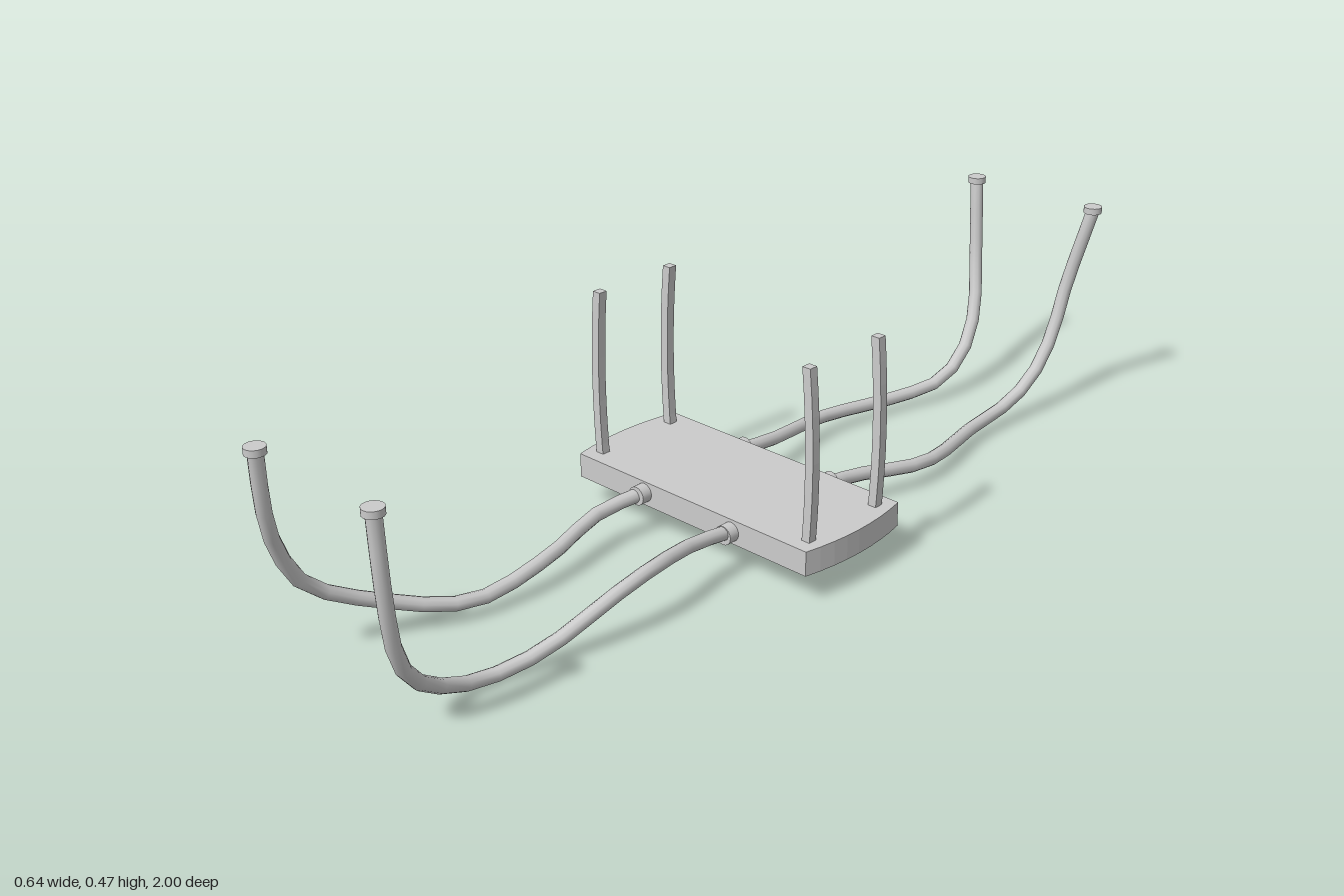
import * as THREE from 'three';

const grey = new THREE.MeshStandardMaterial({ color: 0xcccccc });
const faceted = new THREE.MeshStandardMaterial({ color: 0xcccccc, flatShading: true });

function add(parent, geometry, material, name) {
  const mesh = new THREE.Mesh(geometry, material);
  mesh.name = name;
  parent.add(mesh);
  return mesh;
}

// Rectangle in plan whose two short ends bulge outwards
function bowedOutline(cornerX, endX, halfZ) {
  const s = new THREE.Shape();
  const bulge = 2 * endX - cornerX;
  s.moveTo(-cornerX, -halfZ);
  s.lineTo(cornerX, -halfZ);
  s.quadraticCurveTo(bulge, 0, cornerX, halfZ);
  s.lineTo(-cornerX, halfZ);
  s.quadraticCurveTo(-bulge, 0, -cornerX, -halfZ);
  return s;
}

function plate(shape, y, options) {
  const g = new THREE.ExtrudeGeometry(shape, { curveSegments: 8, bevelEnabled: false, ...options });
  return g.rotateX(-Math.PI / 2).translate(0, y, 0);
}

// Hose paths from the deck to the raised tip: x, y, z
const hoses = {
  frontRight: [[-0.12, 0.092, 0.13], [-0.136, 0.083, 0.246], [-0.105, 0.06, 0.42], [-0.115, 0.04, 0.594],
    [-0.18, 0.085, 0.754], [-0.213, 0.155, 0.877], [-0.207, 0.24, 0.93], [-0.186, 0.34, 0.963], [-0.168, 0.465, 0.978]],
  frontLeft: [[0.116, 0.09, 0.13], [0.118, 0.106, 0.246], [0.14, 0.117, 0.37], [0.138, 0.1, 0.46], [0.103, 0.034, 0.61],
    [0.078, 0.018, 0.727], [0.083, 0.05, 0.823], [0.104, 0.11, 0.9], [0.12, 0.18, 0.94], [0.14, 0.315, 0.968], [0.146, 0.465, 0.978]],
  backRight: [[-0.12, 0.09, -0.13], [-0.122, 0.075, -0.235], [-0.15, 0.05, -0.45], [-0.115, 0.038, -0.652],
    [-0.083, 0.049, -0.77], [-0.078, 0.09, -0.85], [-0.092, 0.17, -0.914], [-0.125, 0.29, -0.957], [-0.15, 0.465, -0.98]],
  backLeft: [[0.116, 0.09, -0.13], [0.118, 0.075, -0.235], [0.154, 0.05, -0.42], [0.11, 0.038, -0.652],
    [0.108, 0.049, -0.77], [0.117, 0.09, -0.85], [0.122, 0.17, -0.914], [0.126, 0.29, -0.957], [0.165, 0.465, -0.98]],
};

function makeHose(name, points) {
  const group = new THREE.Group();
  group.name = name + 'Hose';
  const path = points.map(p => new THREE.Vector3(...p));
  const curve = new THREE.CatmullRomCurve3(path);
  add(group, new THREE.TubeGeometry(curve, 18, 0.0145, 10), grey, 'tube');

  // Collar where the hose enters the deck
  const start = path[0];
  const collar = add(group, new THREE.CylinderGeometry(0.02, 0.02, 0.03, 16), grey, 'collar');
  collar.rotation.x = Math.PI / 2;
  collar.position.set(start.x, start.y, Math.sign(start.z) * 0.145);

  // Disc on the raised tip
  const tip = path[path.length - 1];
  const disc = add(group, new THREE.CylinderGeometry(0.02, 0.02, 0.014, 16), grey, 'tipDisc');
  disc.position.set(tip.x, 0.471, tip.z);
  return group;
}

// Upright whose box section follows a shallow outward bow
function makePost(sideX, sideZ) {
  const g = new THREE.BoxGeometry(0.019, 0.38, 0.019, 1, 8, 1);
  const pos = g.attributes.position;
  for (let i = 0; i < pos.count; i++) {
    const t = pos.getY(i) / 0.38 + 0.5;
    const bow = 0.277 - 0.003 * t + 0.036 * t * (1 - t);
    pos.setX(i, pos.getX(i) + sideX * bow);
  }
  g.translate(0, 0.28, sideZ * 0.098);
  g.computeVertexNormals();
  return g;
}

export function createModel() {
  const model = new THREE.Group();
  model.name = 'deckWithHoses';

  // Deck slab and the bevelled panel beneath it
  add(model, plate(bowedOutline(0.306, 0.322, 0.137), 0.064, { depth: 0.052 }), faceted, 'deck');
  add(model, plate(bowedOutline(0.288, 0.302, 0.117), 0.06, {
    depth: 0.008, bevelEnabled: true, bevelThickness: 0.006, bevelSize: 0.008, bevelSegments: 2,
  }), faceted, 'undersidePanel');

  // Four uprights
  for (const x of [-1, 1]) {
    for (const z of [-1, 1]) {
      add(model, makePost(x, z), faceted, (z > 0 ? 'front' : 'back') + (x > 0 ? 'Left' : 'Right') + 'Post');
    }
  }

  // Four hoses
  for (const [name, points] of Object.entries(hoses)) model.add(makeHose(name, points));
  return model;
}
